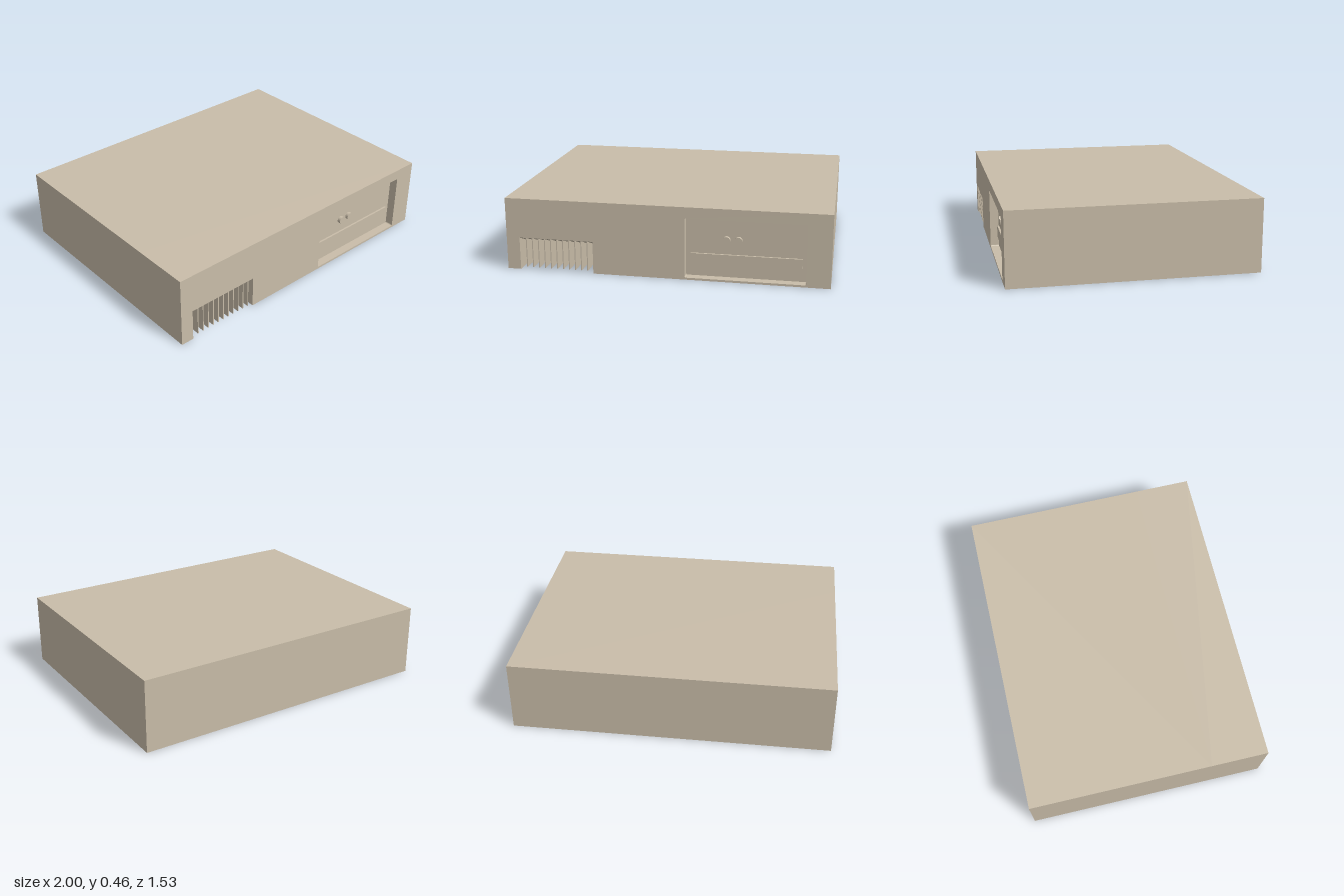
import * as THREE from 'three';

const W = 2, H = 0.457, FRONT = 0.767, SPLIT = 0.4;
const VENT = { x0: -0.917, x1: -0.449, top: 0.206 };
const BAY = { x0: 0.123, x1: 0.856, y0: 0.013, y1: 0.388, z: 0.712 };

export function createModel() {
  const group = new THREE.Group();
  group.name = 'desktopComputerCase';
  const beige = new THREE.MeshStandardMaterial({ color: 0xc9bda9 });

  const add = (name, geometry, x = 0, y = 0, z = 0) => {
    const mesh = new THREE.Mesh(geometry, beige);
    mesh.name = name;
    mesh.position.set(x, y, z);
    group.add(mesh);
    return mesh;
  };
  const extrude = (shape, depth) =>
    new THREE.ExtrudeGeometry(shape, { depth, bevelEnabled: false, curveSegments: 4 });
  const roundedRect = (path, x0, y0, x1, y1, r) => {
    path.absarc(x1 - r, y0 + r, r, -Math.PI / 2, 0);
    path.absarc(x1 - r, y1 - r, r, 0, Math.PI / 2);
    path.absarc(x0 + r, y1 - r, r, Math.PI / 2, Math.PI);
    path.absarc(x0 + r, y0 + r, r, Math.PI, Math.PI * 1.5);
    path.closePath();
    return path;
  };

  // Solid rear of the case
  add('caseRear', new THREE.BoxGeometry(W, H, FRONT + SPLIT), 0, H / 2, (SPLIT - FRONT) / 2);

  // Front of the case, notched for the vent and pierced for the drive bay
  const outline = new THREE.Shape([
    [-1, 0], [VENT.x0, 0], [VENT.x0, VENT.top], [VENT.x1, VENT.top],
    [VENT.x1, 0], [1, 0], [1, H], [-1, H],
  ].map(([x, y]) => new THREE.Vector2(x, y)));
  outline.holes.push(roundedRect(new THREE.Path(), BAY.x0, BAY.y0, BAY.x1, BAY.y1, 0.008));
  add('caseFront', extrude(outline, FRONT - SPLIT), 0, 0, SPLIT);

  // Sloping back of the vent, profile drawn in (-z, y)
  const ramp = new THREE.Shape([
    new THREE.Vector2(-FRONT, VENT.top),
    new THREE.Vector2(-SPLIT, 0.045),
    new THREE.Vector2(-SPLIT, VENT.top),
  ]);
  add('ventSlope', extrude(ramp, VENT.x1 - VENT.x0), VENT.x0).rotation.y = Math.PI / 2;

  // Thin upright vent fins
  const finDepth = FRONT - SPLIT - 0.004;
  for (let i = 0; i < 11; i++) {
    add('ventFin', new THREE.BoxGeometry(0.006, VENT.top - 0.015, finDepth),
      -0.875 + i * 0.0389, (VENT.top + 0.015) / 2, SPLIT + finDepth / 2);
  }

  // Recessed drive panel
  add('drivePanel', new THREE.BoxGeometry(BAY.x1 - BAY.x0, BAY.y1 - BAY.y0, BAY.z - SPLIT),
    (BAY.x0 + BAY.x1) / 2, (BAY.y0 + BAY.y1) / 2, (BAY.z + SPLIT) / 2);

  // Disc tray front
  const tray = roundedRect(new THREE.Shape(), 0.15, 0.083, 0.826, 0.158, 0.004);
  add('discTray', extrude(tray, 0.012), 0, 0, BAY.z);

  // Two round buttons
  for (const x of [0.37, 0.443]) {
    add('driveButton', new THREE.CylinderGeometry(0.024, 0.024, 0.02, 24), x, 0.25, BAY.z + 0.01)
      .rotation.x = Math.PI / 2;
  }
  return group;
}
